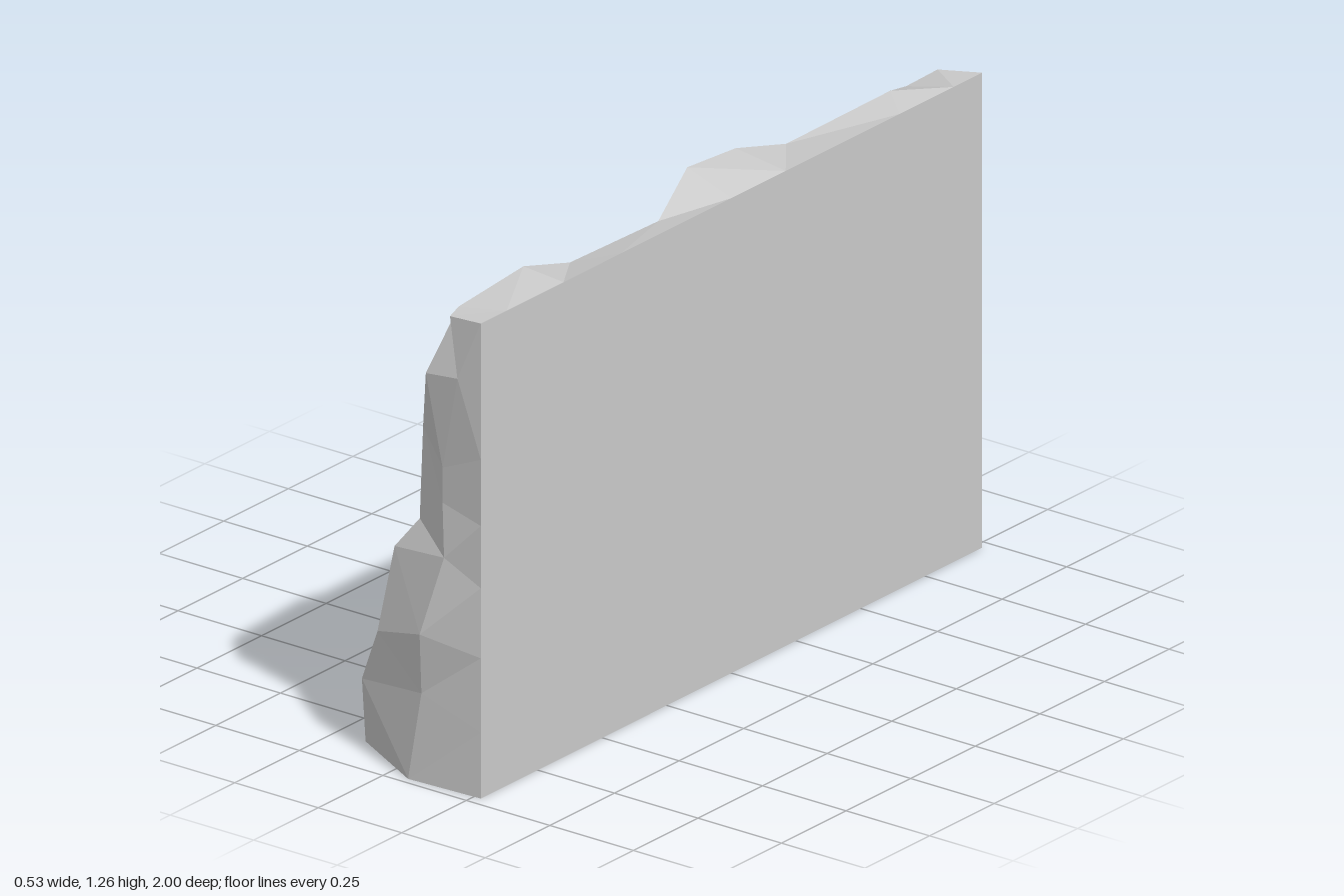
import * as THREE from 'three';

const BACK = 0.27, END = 0.97, TOP = 1.22;
const levels = [0, 0.17, 0.36, 0.54, 0.7, 0.87, 1.06, 1.22];
const stations = [-0.86, -0.65, -0.44, -0.21, 0, 0.21, 0.43, 0.65];
// Small rise or drop of each column between ground and crest
const lift = [0, 0.06, -0.03, 0, -0.01, 0.01, -0.03, 0];

// How far the rock face reaches in x, one row per level, one column per station
const reach = [
  [-0.17, -0.16, -0.18, -0.16, -0.19, -0.26, -0.26, -0.19],
  [-0.14, -0.08, -0.13, -0.09, -0.16, -0.21, -0.26, -0.20],
  [-0.05, -0.04, -0.08, -0.07, -0.09, -0.12, -0.13, -0.12],
  [-0.02, 0.05, -0.01, -0.06, -0.06, -0.03, -0.10, -0.10],
  [-0.04, 0.04, 0.02, -0.08, -0.04, 0.00, -0.06, -0.07],
  [-0.01, 0.02, -0.03, -0.04, -0.01, 0.01, -0.02, 0.00],
  [0.07, 0.05, 0.02, 0.03, 0.04, 0.05, 0.01, 0.04],
];
// The crest, as [x, y, z]
const crest = [
  [0.12, 1.18, -0.87], [0.18, 1.23, -0.73], [0.14, 1.2, -0.38],
  [0.12, 1.24, -0.21], [0.13, 1.26, -0.01], [0.19, 1.2, 0.18],
  [0.15, 1.18, 0.47], [0.15, 1.23, 0.65],
];

// Front corner, then the middle ridge of each end, from the ground up
const frontCorner = [
  [-0.16, 0, 0.86], [-0.14, 0.18, 0.9], [-0.07, 0.33, 0.93], [-0.05, 0.54, 0.89],
  [0.01, 0.62, 0.87], [0.02, 0.86, 0.87], [0.09, 1.04, 0.95], [0.15, 1.21, 0.9],
];
const rearEnd = [
  [0.05, 0, -1], [0.08, 0.23, -1], [0.1, 0.34, -0.97], [0.13, 0.53, -1],
  [0.16, 0.7, -0.98], [0.14, 0.89, -0.97], [0.15, 1.06, -0.94], [0.16, 1.21, -0.94],
];
const frontEnd = [
  [0.06, 0, 0.98], [0.1, 0.23, 0.98], [0.11, 0.39, 1], [0.16, 0.59, 0.97],
  [0.14, 0.72, 0.95], [0.14, 0.81, 0.95], [0.2, 1.06, 0.97], [0.17, 1.21, 0.96],
];

// One run of points at a level: back edge, end ridge, face, end ridge, back edge
function faceRow(y, i) {
  const face = i === levels.length - 1 ? crest
    : stations.map((z, j) => [reach[i][j], i ? y + lift[j] : 0, z]);
  return [[BACK, y, -END], rearEnd[i], ...face, frontCorner[i], frontEnd[i], [BACK, y, END]];
}

// Top edge of the flat back
const topEdge = [-END, -END, ...stations, 0.87, END, END].map((z) => [BACK, TOP, z]);

function addPart(group, name, geometry) {
  const mesh = new THREE.Mesh(geometry, new THREE.MeshStandardMaterial({
    color: 0xcccccc, flatShading: true, side: THREE.DoubleSide,
  }));
  mesh.name = name;
  group.add(mesh);
  return mesh;
}

// Rough rock: up the face and over the crest, open underneath
function rockGeometry() {
  const rows = [...levels.map(faceRow), topEdge]
    .map((row) => row.map((p) => new THREE.Vector3(...p)));
  const positions = [];
  const tri = new THREE.Triangle();
  const addTriangle = (a, b, c) => {
    tri.set(a, b, c);
    if (tri.getArea() < 1e-6) return;
    for (const p of [a, b, c]) positions.push(p.x, p.y, p.z);
  };
  for (let i = 0; i < rows.length - 1; i++) {
    for (let j = 0; j < rows[i].length - 1; j++) {
      const a = rows[i][j], b = rows[i][j + 1];
      const c = rows[i + 1][j + 1], d = rows[i + 1][j];
      // split each quad along its shorter diagonal
      if (a.distanceTo(c) < b.distanceTo(d)) {
        addTriangle(a, b, c);
        addTriangle(a, c, d);
      } else {
        addTriangle(a, b, d);
        addTriangle(b, c, d);
      }
    }
  }
  const geometry = new THREE.BufferGeometry();
  geometry.setAttribute('position', new THREE.Float32BufferAttribute(positions, 3));
  geometry.computeVertexNormals();
  return geometry;
}

export function createModel() {
  const group = new THREE.Group();
  group.name = 'rockCliff';
  addPart(group, 'rockFace', rockGeometry());

  // Flat back
  const back = addPart(group, 'flatBack', new THREE.PlaneGeometry(END * 2, TOP));
  back.rotation.y = Math.PI / 2;
  back.position.set(BACK, TOP / 2, 0);
  return group;
}
